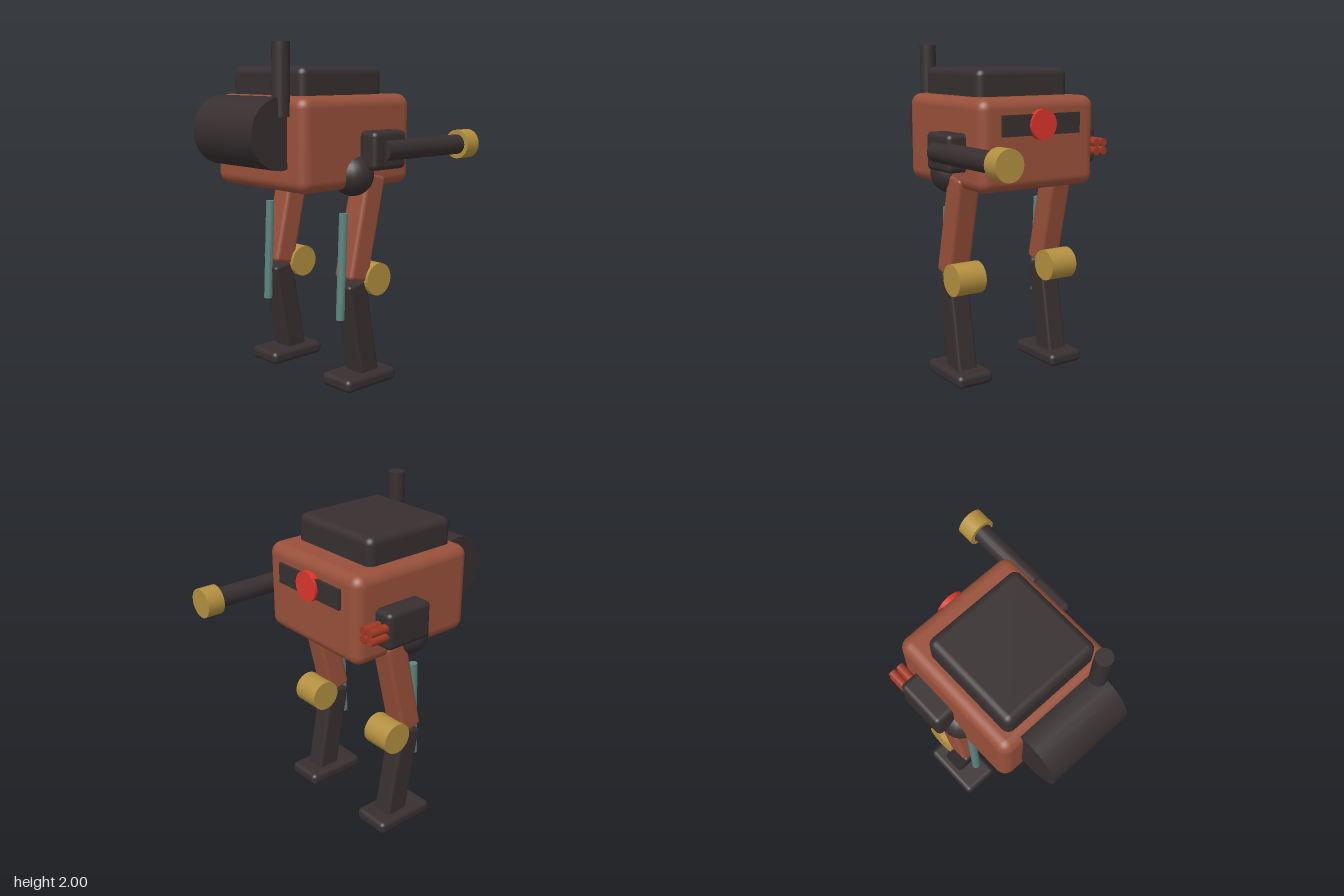
import * as THREE from 'three';
import { RoundedBoxGeometry } from 'three/addons/geometries/RoundedBoxGeometry.js';

const paint = (name, color) => Object.assign(new THREE.MeshStandardMaterial({ color }), { name });

export function createModel() {
  const rust = paint('rust', 0x98503a);
  const iron = paint('iron', 0x372f30);
  const brass = paint('brass', 0xb38f3f);
  const teal = paint('teal', 0x5c847d);
  const red = paint('red', 0xd8352a);
  const ember = paint('ember', 0xa03825);

  const walker = new THREE.Group();
  walker.name = 'walker';
  const CX = -0.035; // centre line of the hull

  function add(name, geometry, material, position, rotation = [0, 0, 0], parent = walker) {
    const mesh = new THREE.Mesh(geometry, material);
    mesh.name = name;
    mesh.position.set(...position);
    mesh.rotation.set(...rotation);
    parent.add(mesh);
    return mesh;
  }
  const block = (w, h, d, r) => new RoundedBoxGeometry(w, h, d, 4, r);
  const rod = (r, length, sides = 24) => new THREE.CylinderGeometry(r, r, length, sides);
  const alongX = [0, 0, Math.PI / 2];
  const alongZ = [Math.PI / 2, 0, 0];

  // Hull, roof hatch, boiler drum and exhaust stack
  add('hull', block(0.8, 0.53, 0.85, 0.065), rust, [CX, 1.445, 0.085]);
  add('hatch', block(0.63, 0.22, 0.62, 0.045), iron, [CX, 1.76, 0.13]);
  add('boiler', rod(0.2, 0.54), iron, [CX, 1.508, 0.553], alongX);
  add('exhaust', rod(0.05, 0.4, 16), iron, [0.21, 1.8, 0.53]);

  // Visor plate with round eye
  add('visor', new THREE.BoxGeometry(0.535, 0.12, 0.04), iron, [CX, 1.557, -0.338]);
  add('eye', rod(0.088, 0.04), red, [CX, 1.557, -0.355], alongZ);

  // Cannon arm
  add('cannonMount', block(0.18, 0.22, 0.26, 0.03), iron, [0.39, 1.4, -0.05]);
  add('cannonBarrel', rod(0.06, 0.69, 20), iron, [0.46, 1.4, -0.35], alongZ);
  add('cannonMuzzle', rod(0.088, 0.107), brass, [0.458, 1.4, -0.7035], alongZ);

  // Launcher arm with a cluster of tubes
  add('launcherMount', block(0.18, 0.22, 0.31, 0.03), iron, [-0.46, 1.4, -0.055]);
  for (const x of [-0.515, -0.462])
    for (const y of [1.375, 1.425])
      add('launcherTube', rod(0.025, 0.16, 12), ember, [x, y, -0.245], alongZ);

  // Reverse-jointed legs
  for (const side of [-1, 1]) {
    const leg = new THREE.Group();
    leg.name = side > 0 ? 'leftLeg' : 'rightLeg';
    leg.position.x = CX + side * 0.336;
    walker.add(leg);
    add('hip', new THREE.SphereGeometry(0.122, 24, 16), iron, [side * 0.008, 1.258, 0.087], [0, 0, 0], leg);
    add('thigh', block(0.15, 0.63, 0.148, 0.025), rust, [0, 0.947, 0.019], [-0.225, 0, 0], leg);
    add('knee', rod(0.097, 0.185), brass, [0, 0.637, -0.05], alongX, leg);
    add('shin', block(0.132, 0.6, 0.148, 0.02), iron, [0, 0.335, 0.038], [0.182, 0, 0], leg);
    add('foot', block(0.24, 0.08, 0.4, 0.03), iron, [0, 0.04, 0.02], [0, 0, 0], leg);
    add('piston', rod(0.026, 0.625, 12), teal, [0, 0.727, 0.163], [-0.04, 0, 0], leg);
  }
  return walker;
}
